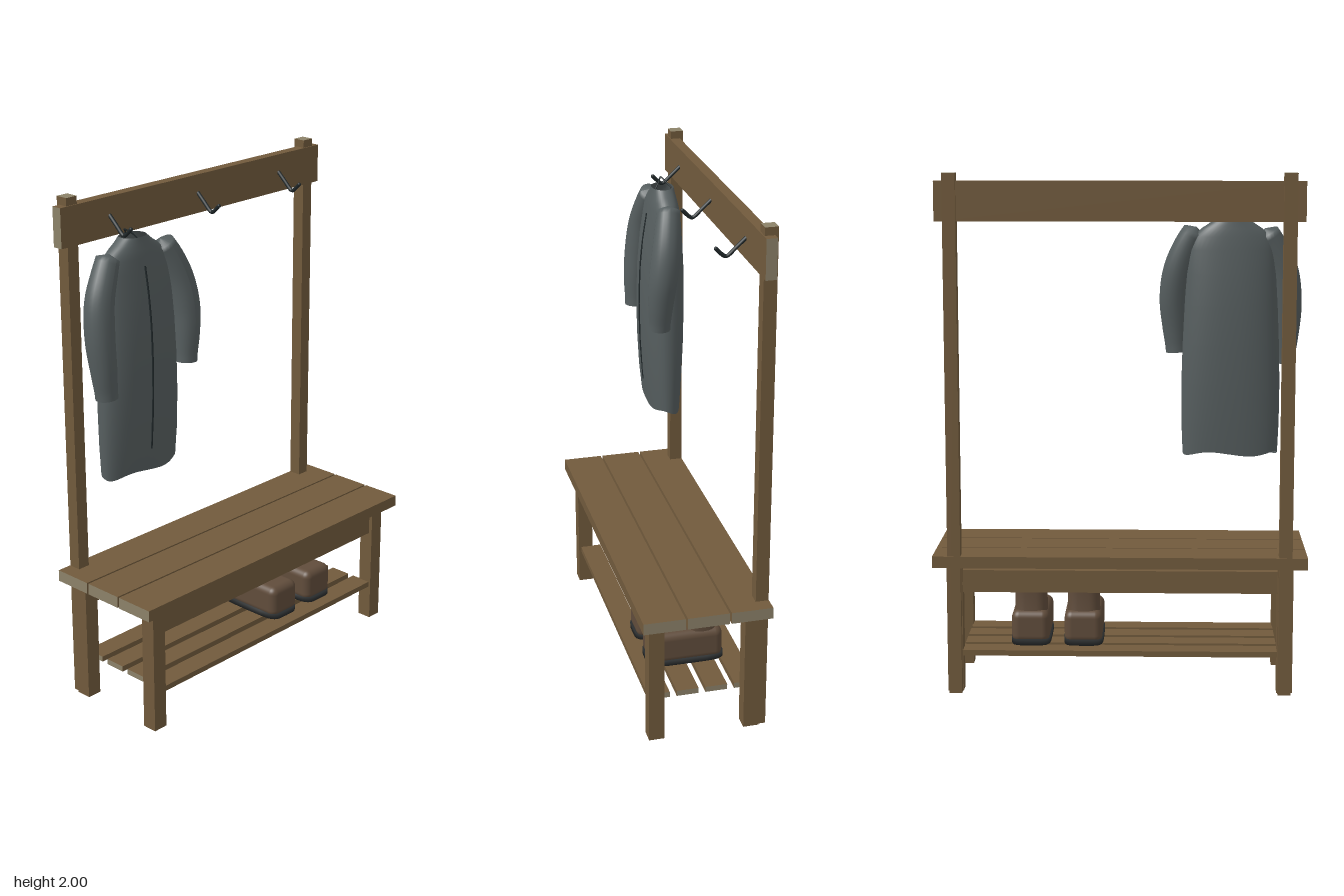
import * as THREE from 'three';
import { RoundedBoxGeometry } from 'three/addons/geometries/RoundedBoxGeometry.js';

const mat = (name, color, side = THREE.FrontSide) => {
  const m = new THREE.MeshStandardMaterial({ color, side });
  m.name = name;
  return m;
};
const V = (x, y, z) => new THREE.Vector3(x, y, z);

export function createModel() {
  const wood = mat('wood', 0x715a3c);
  const endGrain = mat('end grain', 0x8c8269);
  const cloth = mat('coat cloth', 0x565e5f, THREE.DoubleSide);
  const metal = mat('dark metal', 0x20282a);
  const leather = mat('boot leather', 0x604c3b, THREE.DoubleSide);
  const rubber = mat('dark rubber', 0x292c2d);
  const eyeletMetal = mat('eyelet metal', 0x8b8b86);

  const root = new THREE.Group();
  root.name = 'coatRackBench';
  const add = (name, geometry, material, parent = root) => {
    const mesh = new THREE.Mesh(geometry, material);
    mesh.name = name;
    parent.add(mesh);
    return mesh;
  };

  // Timber from min/max ranges; the two faces across the grain axis (0 x, 1 y, 2 z) show end grain
  const timber = (name, x, y, z, axis) => {
    const mats = [0, 1, 2, 3, 4, 5].map(i => (i >> 1 === axis ? endGrain : wood));
    const mesh = add(name, new THREE.BoxGeometry(x[1] - x[0], y[1] - y[0], z[1] - z[0]), mats);
    mesh.position.set((x[0] + x[1]) / 2, (y[0] + y[1]) / 2, (z[0] + z[1]) / 2);
  };

  // Closed rounded rings stacked upward: [y, xMin, xMax, halfZ]
  const loft = (rings, zc, power = 1, wave = 0, n = 32) => {
    const pos = [], idx = [];
    const round = v => Math.sign(v) * Math.abs(v) ** power;
    rings.forEach(([y, x0, x1, hz], r) => {
      for (let i = 0; i < n; i++) {
        const a = (i / n) * Math.PI * 2;
        const dy = r === 0 ? wave * Math.sin(a * 4) : 0;
        pos.push((x0 + x1) / 2 + round(Math.cos(a)) * (x1 - x0) / 2, y + dy, zc + round(Math.sin(a)) * hz);
        if (r) {
          const j = (i + 1) % n, a0 = (r - 1) * n, b0 = r * n;
          idx.push(a0 + i, b0 + i, a0 + j, a0 + j, b0 + i, b0 + j);
        }
      }
    });
    const g = new THREE.BufferGeometry();
    g.setAttribute('position', new THREE.Float32BufferAttribute(pos, 3));
    g.setIndex(idx);
    g.computeVertexNormals();
    return g;
  };
  const rod = (points, radius, closed = false, tension = 0.5) => new THREE.TubeGeometry(
    new THREE.CatmullRomCurve3(points, closed, 'catmullrom', tension), 32, radius, 8, closed);

  // Frame: posts, legs, head board
  for (const s of [-1, 1]) {
    const span = (a, b) => (s > 0 ? [a, b] : [-b, -a]);
    timber('post', [-0.247, -0.197], [0, 2], span(0.611, 0.661), 1);
    timber('rearLeg', [-0.218, -0.157], [0, 0.494], span(0.608, 0.668), 1);
    timber('frontLeg', [0.155, 0.215], [0, 0.494], span(0.608, 0.668), 1);
  }
  timber('headBoard', [-0.234, -0.193], [1.82, 1.97], [-0.694, 0.694], 2);

  // Seat planks, aprons, shelf slats
  for (const x of [-0.168, 0, 0.168]) timber('seatPlank', [x - 0.08, x + 0.08], [0.497, 0.542], [-0.72, 0.72], 2);
  timber('frontApron', [0.17, 0.2], [0.392, 0.479], [-0.61, 0.61], 2);
  timber('rearApron', [-0.203, -0.173], [0.392, 0.479], [-0.61, 0.61], 2);
  for (let i = 0; i < 4; i++) {
    const x = -0.178 + i * 0.1135;
    timber('shelfSlat', [x - 0.043, x + 0.043], [0.143, 0.165], [-0.61, 0.61], 2);
  }

  // Hooks
  for (const z of [-0.457, 0, 0.457]) {
    add('hook', rod([V(-0.195, 1.9, z), V(-0.16, 1.868, z), V(-0.127, 1.838, z), V(-0.11, 1.841, z),
      V(-0.083, 1.867, z)], 0.0075), metal);
    add('hookTip', new THREE.SphereGeometry(0.0075, 10, 8), metal).position.set(-0.083, 1.867, z);
  }

  // Coat
  const coat = new THREE.Group();
  coat.name = 'coat';
  root.add(coat);
  const zc = 0.422;
  const body = [
    [0.93, -0.166, -0.043, 0.182], [1.05, -0.175, -0.03, 0.187], [1.2, -0.183, -0.021, 0.188],
    [1.35, -0.187, -0.018, 0.184], [1.5, -0.187, -0.022, 0.177], [1.62, -0.181, -0.033, 0.17],
    [1.71, -0.174, -0.047, 0.163], [1.76, -0.169, -0.054, 0.147], [1.79, -0.164, -0.06, 0.115],
    [1.81, -0.16, -0.066, 0.085], [1.834, -0.156, -0.07, 0.056],
  ];
  add('coatBody', loft(body, zc, 0.9, 0.008, 40), cloth, coat);
  add('coatSeam', rod([[1.02, -0.033], [1.2, -0.021], [1.35, -0.018], [1.5, -0.022], [1.62, -0.033], [1.73, -0.05]]
    .map(([y, x]) => V(x, y, zc)), 0.004), metal, coat);
  add('hangingLoop', rod([V(-0.15, 1.825, zc), V(-0.128, 1.85, 0.444), V(-0.115, 1.862, 0.457), V(-0.1, 1.845, 0.435),
    V(-0.085, 1.825, zc)], 0.003), metal, coat);

  // Sleeves: tubes closed at the shoulder, fullest at the elbow
  const sleeve = (name, points) => {
    const curve = new THREE.CatmullRomCurve3(points), n = 28, sides = 20;
    const g = new THREE.TubeGeometry(curve, n, 1, sides);
    const p = g.attributes.position, v = V(0, 0, 0);
    for (let i = 0; i < p.count; i++) {
      const t = Math.floor(i / (sides + 1)) / n;
      const c = curve.getPointAt(t);
      const r = t === 0 ? 0 : 0.043 + 0.014 * Math.sin(Math.PI * Math.min(1, t * 1.05));
      v.fromBufferAttribute(p, i).sub(c).multiplyScalar(r).add(c);
      p.setXYZ(i, v.x, v.y, v.z);
    }
    g.computeVertexNormals();
    add(name, g, cloth, coat);
  };
  sleeve('leftSleeve', [V(-0.105, 1.79, 0.547), V(-0.092, 1.72, 0.585), V(-0.08, 1.63, 0.622),
    V(-0.066, 1.5, 0.637), V(-0.054, 1.38, 0.634), V(-0.05, 1.272, 0.626)]);
  sleeve('rightSleeve', [V(-0.105, 1.795, 0.289), V(-0.092, 1.72, 0.25), V(-0.078, 1.63, 0.219),
    V(-0.062, 1.52, 0.205), V(-0.053, 1.42, 0.209), V(-0.05, 1.314, 0.217)]);

  // Boots with toes toward +x
  const boot = z => {
    const g = new THREE.Group();
    g.name = 'boot';
    g.position.z = z;
    root.add(g);
    add('sole', loft([[0.165, 0, 0, 0], [0.165, -0.152, 0.155, 0.078], [0.187, -0.152, 0.155, 0.078], [0.187, 0, 0, 0]],
      0, 0.4), rubber, g);
    add('foot', new RoundedBoxGeometry(0.293, 0.13, 0.148, 5, 0.03), leather, g).position.set(0.003, 0.235, 0);
    add('shaft', loft([[0.26, -0.135, 0.005, 0.066], [0.3, -0.126, -0.006, 0.064], [0.38, -0.123, -0.01, 0.062],
      [0.47, -0.126, -0.006, 0.064]], 0, 0.65), leather, g);
    const collar = add('collar', new THREE.TorusGeometry(0.062, 0.004, 8, 32), rubber, g);
    collar.rotation.x = Math.PI / 2;
    collar.position.set(-0.066, 0.47, 0);
    // Tongue, crossed laces and eyelets
    add('tongue', new THREE.BoxGeometry(0.008, 0.15, 0.06), leather, g).position.set(-0.008, 0.38, 0);
    for (let i = 0; i < 5; i++) {
      const y = 0.318 + i * 0.032;
      for (const s of [-1, 1]) {
        const eyelet = add('eyelet', new THREE.TorusGeometry(0.005, 0.002, 6, 12), eyeletMetal, g);
        eyelet.rotation.y = Math.PI / 2;
        eyelet.position.set(-0.005, y, s * 0.034);
        if (i < 4) add('lace', rod([V(-0.003, y, s * 0.034), V(0, y + 0.016, 0), V(-0.003, y + 0.032, -s * 0.034)], 0.003), rubber, g);
      }
    }
  };
  [-0.145, -0.352].forEach(boot);

  return root;
}
